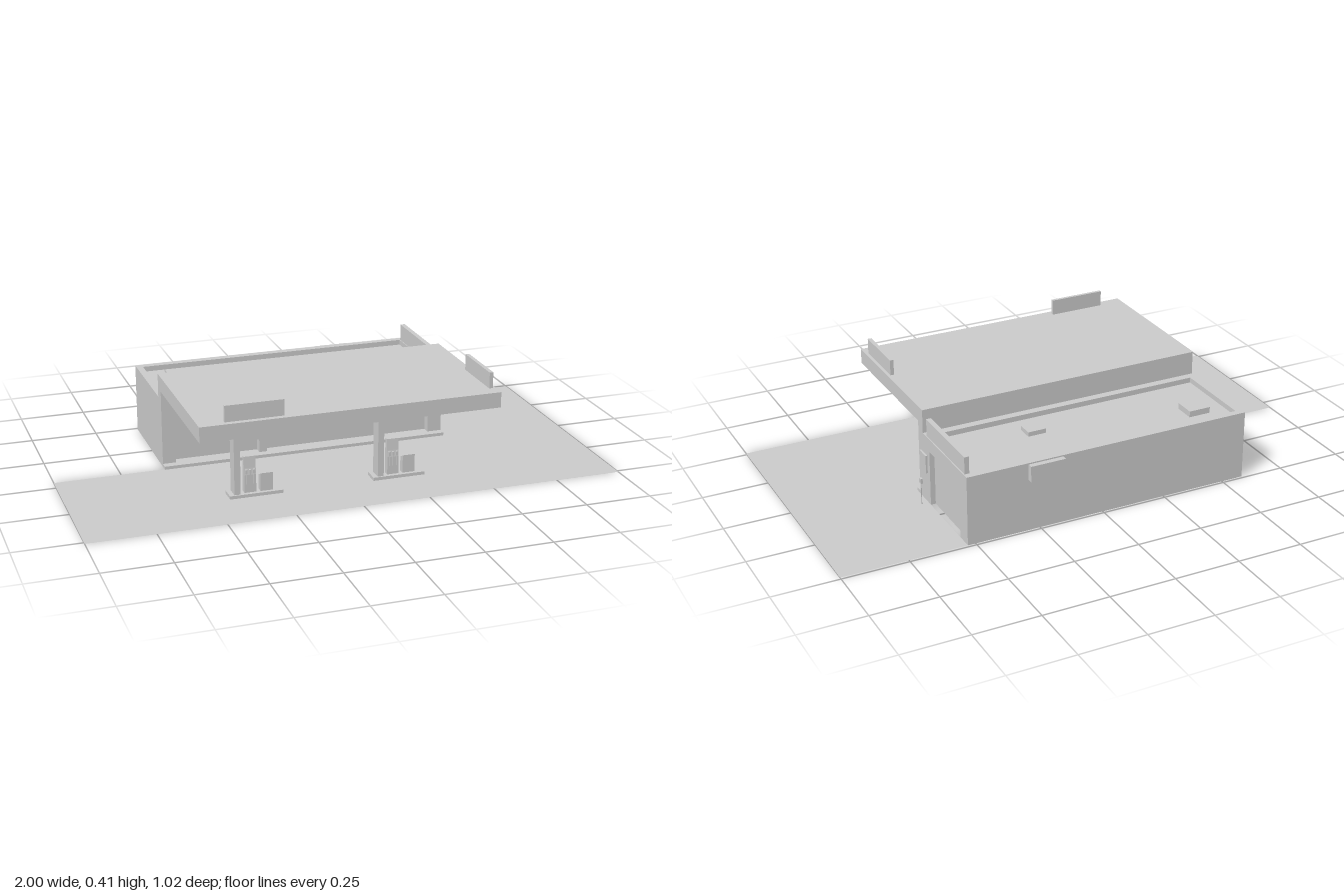
import * as THREE from 'three';

const material = new THREE.MeshStandardMaterial({ color: 0xcccccc, flatShading: true });
const sheet = new THREE.MeshStandardMaterial({ color: 0xcccccc, side: THREE.DoubleSide });

// Box given by its limits on each axis
function box(parent, name, [x0, x1], [y0, y1], [z0, z1]) {
  const mesh = new THREE.Mesh(new THREE.BoxGeometry(x1 - x0, y1 - y0, z1 - z0), material);
  mesh.position.set((x0 + x1) / 2, (y0 + y1) / 2, (z0 + z1) / 2);
  mesh.name = name;
  parent.add(mesh);
  return mesh;
}

// Side profile of [z, y] points, extruded along x
function profile(parent, name, points, x0, x1) {
  const shape = new THREE.Shape(points.map(([z, y]) => new THREE.Vector2(-z, y)));
  const geo = new THREE.ExtrudeGeometry(shape, { depth: x1 - x0, bevelEnabled: false });
  geo.rotateY(Math.PI / 2);
  const mesh = new THREE.Mesh(geo, material);
  mesh.position.x = x0;
  mesh.name = name;
  parent.add(mesh);
}

function group(parent, name) {
  const g = new THREE.Group();
  g.name = name;
  parent.add(g);
  return g;
}

const L = -0.585, R = 0.53, BACK = -0.49, T = 0.025;

function addGround(root) {
  // L-shaped forecourt that stops at the building
  const pts = [[-1, 0.51], [1, 0.51], [1, BACK], [R, BACK], [R, -0.05], [-1, -0.05]];
  const geo = new THREE.ShapeGeometry(new THREE.Shape(pts.map(([x, z]) => new THREE.Vector2(x, -z))));
  geo.rotateX(-Math.PI / 2);
  const ground = new THREE.Mesh(geo, sheet);
  ground.name = 'ground';
  root.add(ground);
}

function addShop(root) {
  const shop = group(root, 'shop');
  const top = 0.265;
  box(shop, 'backWall', [L, R], [0, top], [BACK, BACK + T]);
  box(shop, 'rightWall', [L, L + T], [0, top], [BACK + T, -0.115]);

  // Left wall around the recessed garage door
  box(shop, 'leftWallRear', [R - T, R], [0, top], [BACK + T, -0.43]);
  box(shop, 'leftWallFront', [R - T, R], [0, top], [-0.17, -0.115]);
  box(shop, 'leftWallLintel', [R - T, R], [0.215, top], [-0.43, -0.17]);
  box(shop, 'garageDoor', [R - T, R - T + 0.006], [0, 0.215], [-0.43, -0.17]);

  // Roof deck below the parapet
  box(shop, 'roof', [L + T, R - T], [0.225, 0.245], [BACK + T, -0.115]);
  box(shop, 'frontParapet', [L + T, R - T], [0.245, top], [-0.145, -0.115]);
  box(shop, 'roofVent', [-0.49, -0.405], [0.245, 0.268], [-0.4, -0.32]);
  box(shop, 'roofHatch', [0.12, 0.19], [0.245, 0.262], [-0.275, -0.215]);

  // Storefront
  const front = [-0.115, -0.075];
  for (const x of [[L, -0.535], [-0.21, -0.18], [0.475, R]]) box(shop, 'storefrontPost', x, [0, 0.3], front);
  for (const x of [[-0.535, -0.21], [-0.18, 0.475]]) {
    box(shop, 'storefrontHeader', x, [0.265, 0.3], front);
    box(shop, 'windowTransom', x, [0.22, 0.265], [-0.115, -0.095]);
    box(shop, 'windowSill', x, [0, 0.012], front);
    box(shop, 'window', x, [0.012, 0.22], [-0.112, -0.106]);
  }
  box(shop, 'curb', [L, R], [0, 0.012], [-0.075, -0.045]);

  // Signs on the building
  box(shop, 'sideRoofSign', [0.508, 0.526], [top, 0.33], [-0.465, -0.14]);
  box(shop, 'backSign', [0.16, 0.295], [0.2, 0.26], [-0.51, BACK]);
  box(shop, 'wallPanel', [R, 0.537], [0.12, 0.19], [-0.15, -0.095]);
}

function addCanopy(root) {
  const canopy = group(root, 'canopy');
  box(canopy, 'canopyRoof', [L, R], [0.297, 0.355], [-0.115, 0.475]);
  box(canopy, 'frontCanopySign', [-0.49, -0.275], [0.355, 0.415], [0.443, 0.455]);
  box(canopy, 'sideCanopySign', [0.505, 0.519], [0.355, 0.415], [0.205, 0.425]);
}

function addPumpIsland(root, x) {
  const island = group(root, 'pumpIsland');
  island.position.x = x;
  box(island, 'islandBase', [-0.03, 0.17], [0, 0.012], [0.242, 0.303]);
  box(island, 'pillar', [-0.012, 0.011], [0.012, 0.297], [0.247, 0.297]);
  box(island, 'hangingSign', [0.011, 0.15], [0.21, 0.265], [0.262, 0.285]);
  profile(island, 'pump', [[0.264, 0.012], [0.288, 0.012], [0.288, 0.08], [0.284, 0.105],
    [0.281, 0.148], [0.268, 0.148], [0.264, 0.105]], 0.028, 0.072);
  // Three hoses with nozzles on the pump face
  for (const nx of [0.036, 0.05, 0.064]) {
    box(island, 'nozzle', [nx - 0.004, nx + 0.004], [0.085, 0.1], [0.28, 0.291]);
    box(island, 'hose', [nx - 0.0015, nx + 0.0015], [0.045, 0.085], [0.286, 0.291]);
  }
  profile(island, 'serviceBin', [[0.264, 0.012], [0.289, 0.012], [0.289, 0.08], [0.264, 0.067]], 0.088, 0.135);
}

function addAirPost(root) {
  const post = group(root, 'airPost');
  const pole = new THREE.Mesh(new THREE.CylinderGeometry(0.002, 0.002, 0.085, 8), material);
  pole.position.set(0.557, 0.0425, -0.149);
  pole.name = 'pole';
  post.add(pole);
  box(post, 'airPostHead', [0.553, 0.561], [0.085, 0.105], [-0.156, -0.142]);
}

export function createModel() {
  const root = new THREE.Group();
  root.name = 'fuelStation';
  addGround(root);
  addShop(root);
  addCanopy(root);
  for (const x of [-0.403, 0.142]) addPumpIsland(root, x);
  addAirPost(root);
  return root;
}
